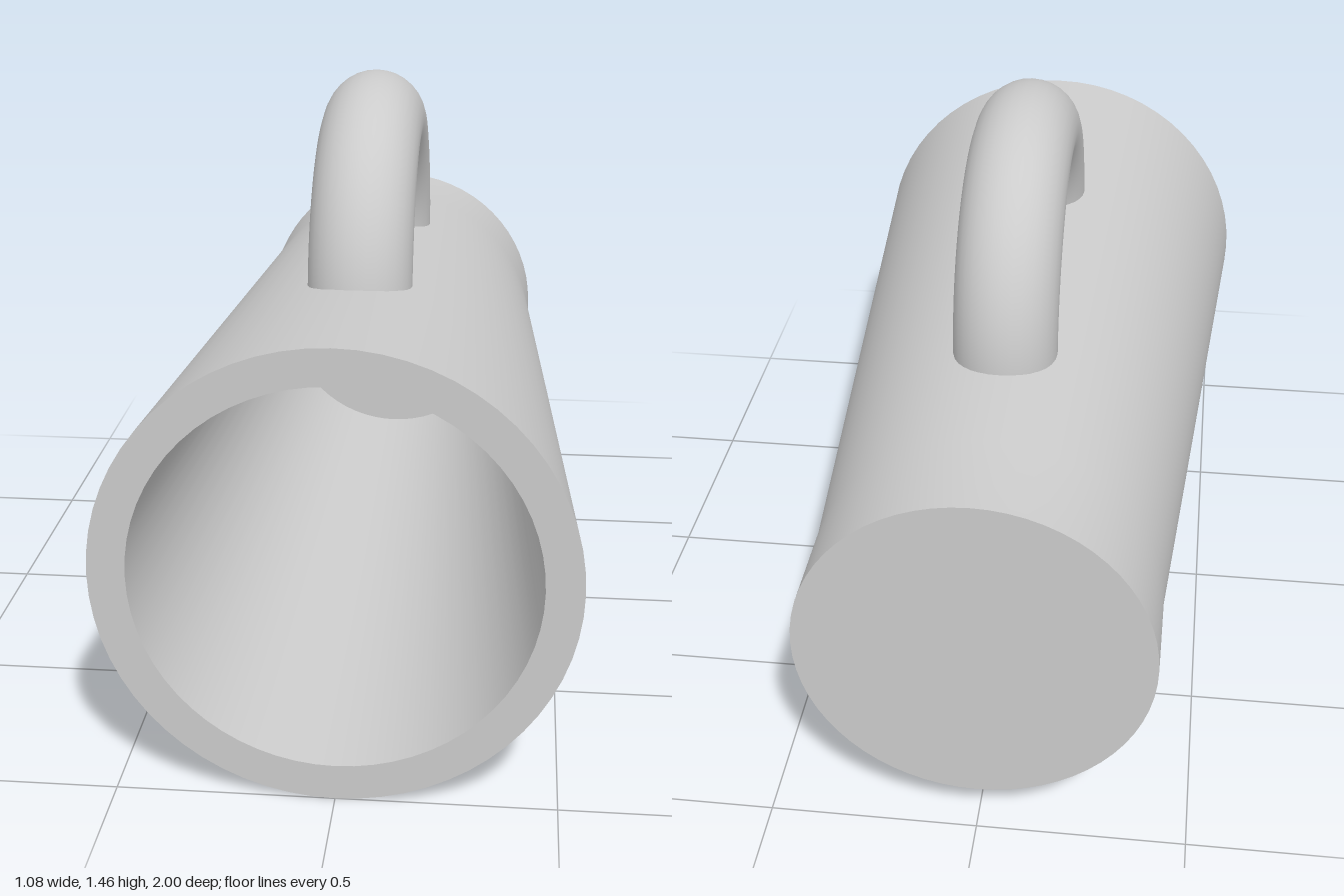
import * as THREE from 'three';

export function createModel() {
  const group = new THREE.Group();
  const material = new THREE.MeshStandardMaterial({ color: 0xcccccc });
  const axisY = 0.54;

  // Turned surface around the z axis; profile points are [radius, z]
  function addTurned(name, profile) {
    const points = profile.map(([r, z]) => new THREE.Vector2(r, z));
    const geometry = new THREE.LatheGeometry(points, 64);
    geometry.rotateX(Math.PI / 2);
    const mesh = new THREE.Mesh(geometry, material);
    mesh.name = name;
    mesh.position.y = axisY;
    group.add(mesh);
  }

  // Cup lying on its side, mouth forward; separate surfaces keep the edges sharp
  addTurned('base', [[0, -1], [0.415, -1]]);
  addTurned('outerWall', [[0.415, -1], [0.415, -0.75], [0.54, 1]]);
  addTurned('rim', [[0.54, 1], [0.455, 1]]);
  addTurned('innerWall', [[0.455, 1], [0.33, -0.75]]);
  addTurned('innerFloor', [[0.33, -0.75], [0, -0.75]]);

  // Half-ring handle with both ends buried in the wall
  const trim = 0.03;
  const ring = new THREE.TorusGeometry(0.385, 0.126, 32, 48, Math.PI - trim);
  ring.rotateZ(trim);
  ring.rotateY(-Math.PI / 2);
  const handle = new THREE.Mesh(ring, material);
  handle.name = 'handle';
  handle.position.y = 0.95;
  group.add(handle);

  return group;
}
